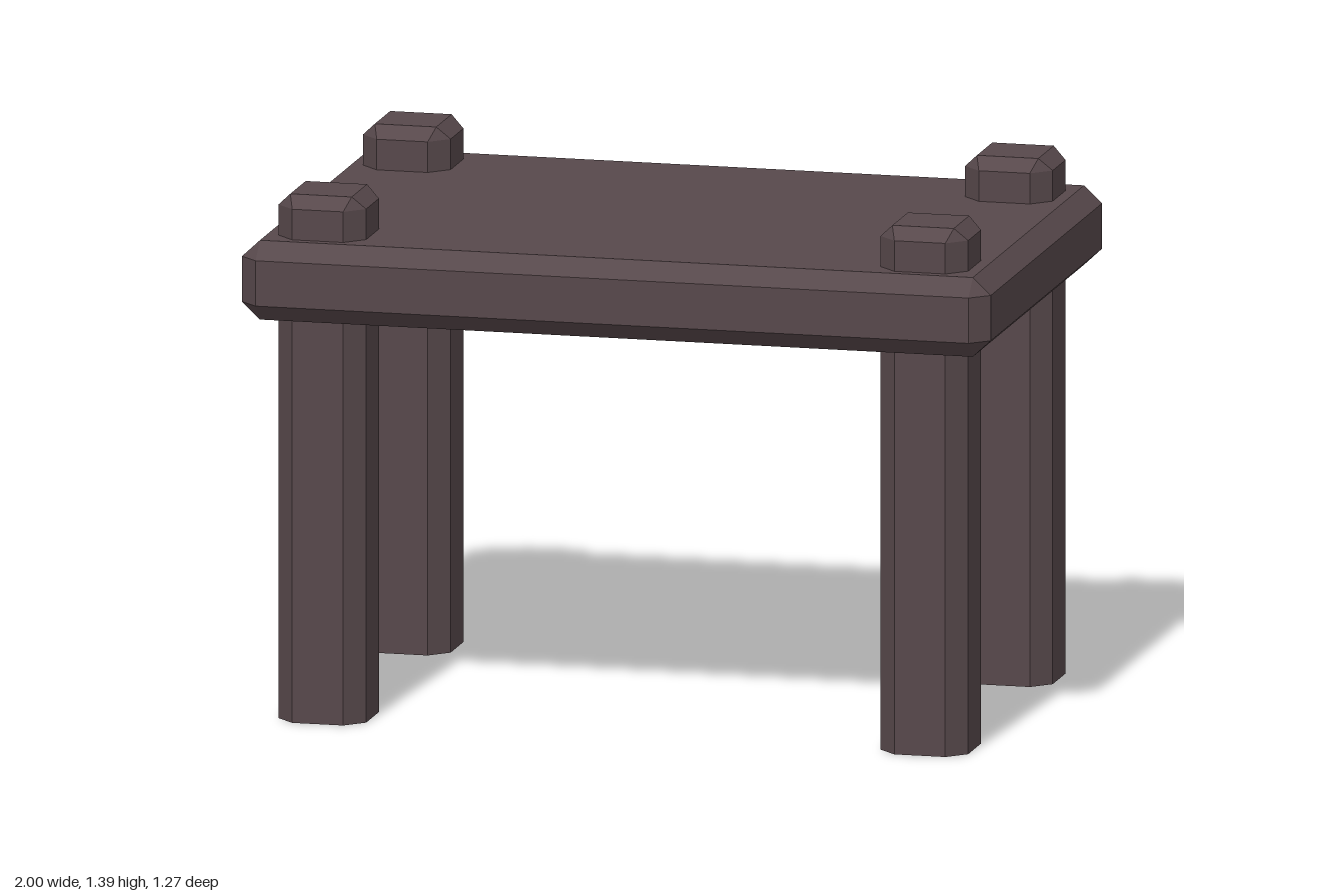
import * as THREE from 'three';
import { ConvexGeometry } from 'three/addons/geometries/ConvexGeometry.js';

const SIGNS = [-1, 1];

// Box with every edge and corner cut off, given half sizes and the cut on each axis
function chamferedBox(hx, hy, hz, cx, cy, cz) {
  const points = [];
  for (const sx of SIGNS) for (const sy of SIGNS) for (const sz of SIGNS) {
    points.push(
      new THREE.Vector3(sx * hx, sy * (hy - cy), sz * (hz - cz)),
      new THREE.Vector3(sx * (hx - cx), sy * hy, sz * (hz - cz)),
      new THREE.Vector3(sx * (hx - cx), sy * (hy - cy), sz * hz)
    );
  }
  return new ConvexGeometry(points);
}

// Eight-sided post, open below, narrowing to a small square top
function postGeometry(half, flat, top, shoulderY, topY) {
  const outline = [
    [half, -flat], [half, flat], [flat, half], [-flat, half],
    [-half, flat], [-half, -flat], [-flat, -half], [flat, -half]
  ];
  const ring = (y) => outline.map(([x, z]) => new THREE.Vector3(x, y, z));
  const rim = outline.map(([x, z]) => new THREE.Vector3(Math.sign(x) * top, topY, Math.sign(z) * top));
  const foot = ring(0);
  const shoulder = ring(shoulderY);
  const positions = [];
  const tri = (a, b, c) => {
    if (a.equals(b) || b.equals(c) || c.equals(a)) return;
    for (const p of [a, b, c]) positions.push(p.x, p.y, p.z);
  };
  for (const [low, high] of [[foot, shoulder], [shoulder, rim]]) {
    for (let i = 0; i < 8; i++) {
      const j = (i + 1) % 8;
      tri(low[i], high[i], high[j]);
      tri(low[i], high[j], low[j]);
    }
  }
  tri(rim[0], rim[6], rim[4]);
  tri(rim[0], rim[4], rim[2]);
  const geometry = new THREE.BufferGeometry();
  geometry.setAttribute('position', new THREE.Float32BufferAttribute(positions, 3));
  geometry.computeVertexNormals();
  return geometry;
}

export function createModel() {
  const group = new THREE.Group();
  group.name = 'table';

  const wood = new THREE.MeshStandardMaterial({ color: 0x57484b, side: THREE.DoubleSide });
  wood.name = 'dark wood';

  // Thick tabletop with bevelled edges
  const tabletop = new THREE.Mesh(chamferedBox(1, 0.105, 0.637, 0.048, 0.045, 0.046), wood);
  tabletop.name = 'tabletop';
  tabletop.position.y = 1.174;
  group.add(tabletop);

  // Four posts that rise through the top
  const post = postGeometry(0.117, 0.068, 0.082, 1.36, 1.393);
  for (const sx of SIGNS) for (const sz of SIGNS) {
    const leg = new THREE.Mesh(post, wood);
    leg.name = `${sz > 0 ? 'front' : 'back'}${sx > 0 ? 'Left' : 'Right'}Leg`;
    leg.position.set(sx * 0.804, 0, sz * 0.449);
    group.add(leg);
  }
  return group;
}
